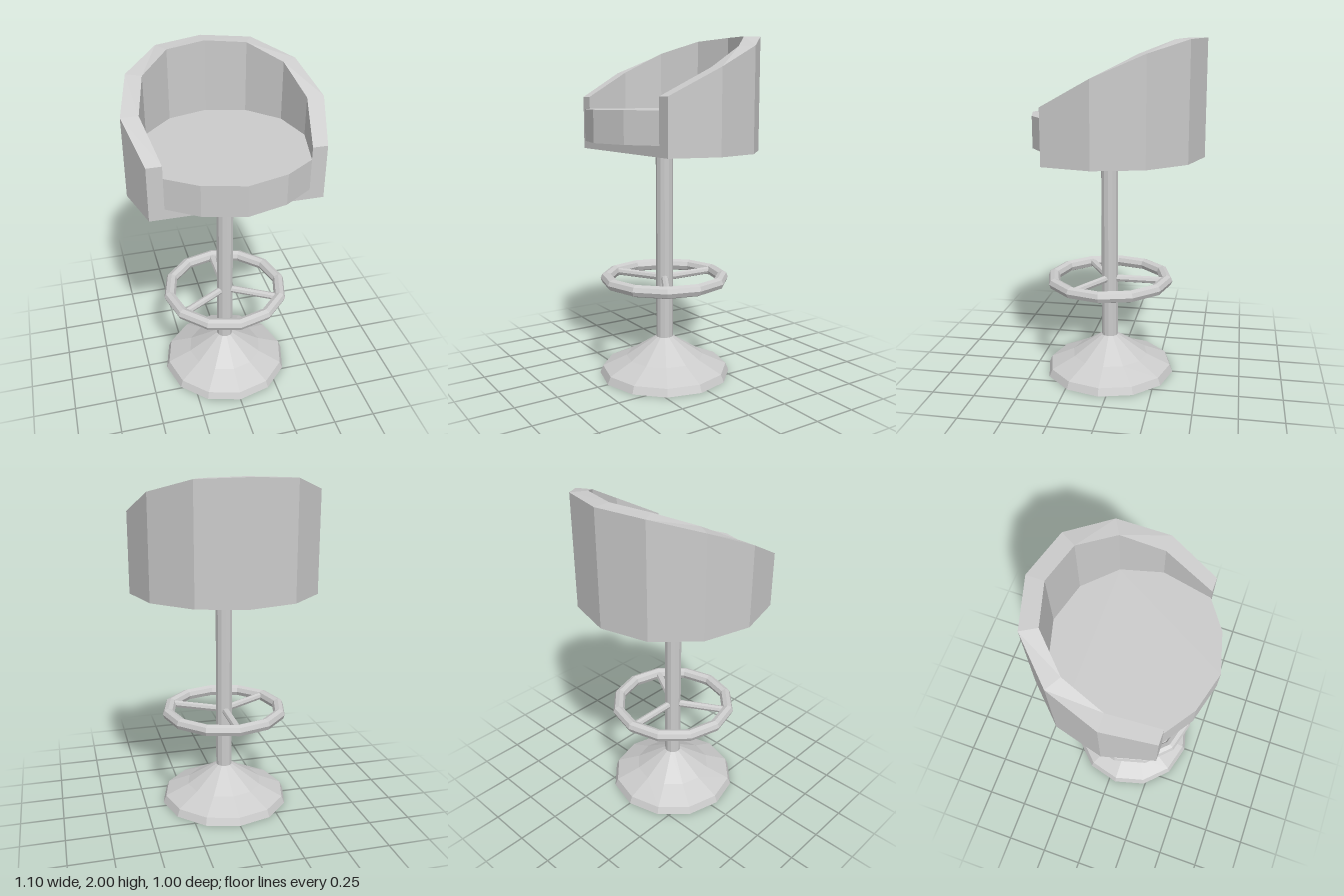
import * as THREE from 'three';

const ZC = 0.045; // axis of the stool
const ARM_Z = 0.325; // front of the arms

export function createModel() {
  const group = new THREE.Group();
  const material = new THREE.MeshStandardMaterial({ color: 0xcccccc, flatShading: true });

  const add = (name, geometry, x = 0, y = 0, z = 0, parent = group) => {
    const mesh = new THREE.Mesh(geometry, material);
    mesh.name = name;
    mesh.position.set(x, y, z);
    parent.add(mesh);
    return mesh;
  };

  // Nine stations around the seat, from the left arm round the back to the right arm
  const station = (k, r) => {
    const t = THREE.MathUtils.degToRad(60 + 30 * k);
    const end = k === 0 || k === 8;
    return [r * Math.sin(t), end ? ARM_Z : ZC + r * Math.cos(t)];
  };
  const ring = (r) => Array.from({ length: 9 }, (_, k) => station(k, r));
  const outer = ring(0.55);
  const inner = ring(0.454);

  // Flat slab from a plan outline of [x, z] points
  const slab = (points, height) => {
    const shape = new THREE.Shape(points.map(([x, z]) => new THREE.Vector2(x, -z)));
    return new THREE.ExtrudeGeometry(shape, { depth: height, bevelEnabled: false }).rotateX(-Math.PI / 2);
  };

  // Base and pole
  const profile = [[0, 0], [0.39, 0], [0.372, 0.043], [0.23, 0.107], [0.05, 0.225], [0, 0.225]];
  add('base', new THREE.LatheGeometry(profile.map(([x, y]) => new THREE.Vector2(x, y)), 12), 0, 0, ZC);
  add('pole', new THREE.CylinderGeometry(0.05, 0.05, 1.16, 12), 0, 0.78, ZC);

  // Foot ring with three spokes
  const footrest = new THREE.Group();
  footrest.name = 'footrest';
  footrest.position.set(0, 0.587, ZC);
  group.add(footrest);
  add('footRing', new THREE.TorusGeometry(0.345, 0.035, 8, 12).rotateX(Math.PI / 2), 0, 0, 0, footrest);
  for (let i = 0; i < 3; i++) {
    const spoke = new THREE.CylinderGeometry(0.022, 0.022, 0.32, 8);
    spoke.rotateX(Math.PI / 2).translate(0, 0, 0.17).rotateY(Math.PI + (i * 2 * Math.PI) / 3);
    add('spoke', spoke, 0, 0, 0, footrest);
  }

  // Backrest wall: a four-cornered section swept round the stations, rising to the back
  const heights = [1.65, 1.8, 1.92, 1.99, 2];
  const sections = outer.map(([ox, oz], k) => {
    const [ix, iz] = inner[k];
    const top = heights[Math.min(k, 8 - k)];
    return [[ox, 1.34, oz], [ox, top, oz], [ix, top, iz], [ix, 1.34, iz]];
  });
  const positions = [];
  const quad = (a, b, c, d) => positions.push(...a, ...b, ...c, ...a, ...c, ...d);
  for (let k = 0; k < 8; k++) {
    const s = sections[k];
    const n = sections[k + 1];
    for (let j = 0; j < 4; j++) quad(s[j], n[j], n[(j + 1) % 4], s[(j + 1) % 4]);
  }
  quad(...sections[0]);
  quad(...[...sections[8]].reverse());
  const wall = new THREE.BufferGeometry();
  wall.setAttribute('position', new THREE.Float32BufferAttribute(positions, 3));
  wall.computeVertexNormals();
  add('backrest', wall);

  // Seat pan closing the shell, and the cushion that bulges out in front
  add('seatPan', slab(inner, 0.06), 0, 1.34, 0);
  add('cushion', slab([...inner, [-0.227, 0.439], [0, 0.5], [0.227, 0.439]], 0.18), 0, 1.4, 0);

  return group;
}
